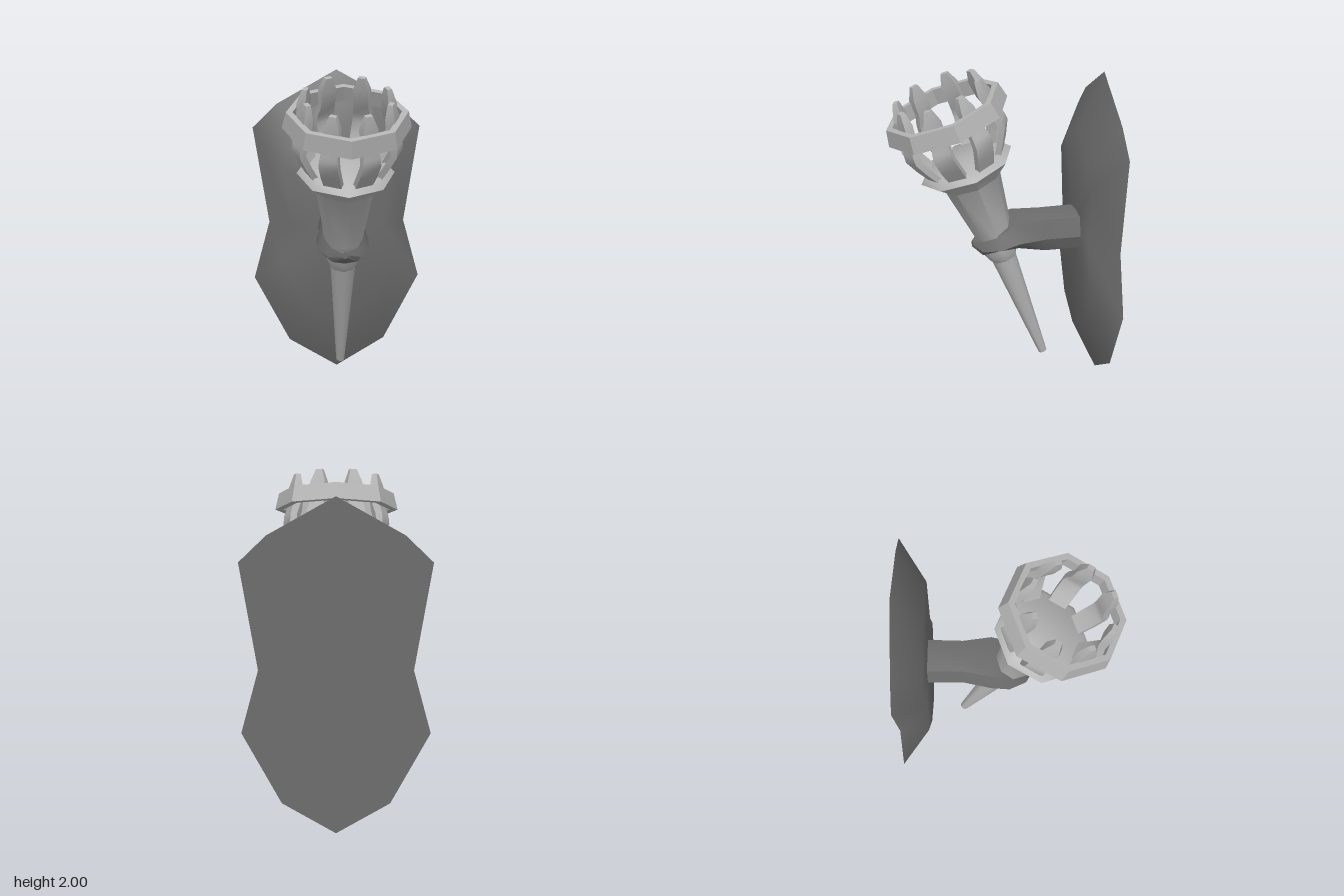
import * as THREE from 'three';
import { toCreasedNormals } from 'three/addons/utils/BufferGeometryUtils.js';

const iron = new THREE.MeshStandardMaterial({ color: 0x6c6c6c });
const torchMetal = new THREE.MeshStandardMaterial({ color: 0xb2b2b2 });

// Closed skin over equal-length loops of Vector3, ordered counter-clockwise about the path
function loft(sections) {
  const n = sections[0].length, last = sections.length - 1;
  const pos = sections.flatMap(s => s.flatMap(p => p.toArray()));
  const index = [];
  for (let i = 0; i < last; i++) {
    for (let j = 0; j < n; j++) {
      const k = (j + 1) % n, a = i * n, b = a + n;
      index.push(a + j, a + k, b + k, a + j, b + k, b + j);
    }
  }
  for (const i of [0, last]) {
    const c = new THREE.Vector3();
    sections[i].forEach(p => c.addScaledVector(p, 1 / n));
    const ci = pos.length / 3;
    pos.push(...c.toArray());
    for (let j = 0; j < n; j++) {
      const p = i * n + j, q = i * n + (j + 1) % n;
      if (i === 0) index.push(ci, q, p); else index.push(ci, p, q);
    }
  }
  const g = new THREE.BufferGeometry();
  g.setAttribute('position', new THREE.Float32BufferAttribute(pos, 3));
  g.setIndex(index);
  return g;
}

// Edges bent by more than crease degrees stay sharp
function add(parent, name, geometry, material, crease) {
  const m = new THREE.Mesh(toCreasedNormals(geometry, THREE.MathUtils.degToRad(crease)), material);
  m.name = name;
  parent.add(m);
  return m;
}

const lathe = (pts, sides) =>
  new THREE.LatheGeometry(pts.map(p => new THREE.Vector2(...p)), sides);

// Bevelled wall plate with a pinched waist
function wallPlate() {
  const half = [[0.31, 0.19], [0.535, 0.615], [0.435, 0.985], [0.535, 1.6], [0.38, 1.75]];
  const outline = [[0, 0.005], ...half, [0, 1.965], ...half.map(([x, y]) => [-x, y]).reverse()];
  const at = (k, z) => outline.map(([x, y]) => new THREE.Vector3(x * k, 0.985 + (y - 0.985) * k, z));
  return loft([at(1, -0.645), at(0.66, -0.49)]);
}

// Arm leaving the plate and widening into a slanted, pointed collar round the torch
function bracket() {
  // z, half width, bottom, middle, top
  const stations = [
    [-0.5, 0.13, 0.86, 0.98, 1.11],
    [-0.28, 0.125, 0.86, 0.98, 1.11],
    [-0.11, 0.16, 0.92, 0.98, 1.105],
    [0, 0.155, 0.92, 0.945, 1.045],
    [0.1, 0.1, 0.88, 0.92, 0.99],
    [0.15, 0.02, 0.92, 0.94, 0.965],
  ];
  return loft(stations.map(([z, w, b, m, t]) => {
    const low = b + (m - b) * 0.3;
    return [
      [0, b], [w * 0.75, low], [w, m], [w * 0.78, t - 0.012], [0, t],
      [-w * 0.78, t - 0.012], [-w, m], [-w * 0.75, low],
    ].map(([x, y]) => new THREE.Vector3(x, y, z));
  }));
}

// Bowed prong standing on the cup rim, pointed at the top
function prong() {
  // height, outer radius, thickness, half width
  const stations = [
    [1.4, 0.235, 0.04, 0.055],
    [1.48, 0.28, 0.04, 0.058],
    [1.57, 0.322, 0.04, 0.058],
    [1.62, 0.318, 0.042, 0.054],
    [1.69, 0.295, 0.045, 0.045],
    [1.79, 0.292, 0.055, 0.047],
    [1.87, 0.27, 0.03, 0.02],
  ];
  return loft(stations.map(([y, r, t, w]) => [
    [-w, r], [w, r], [w, r - t], [-w, r - t],
  ].map(([x, z]) => new THREE.Vector3(x, y, z))));
}

export function createModel() {
  const model = new THREE.Group();
  model.name = 'wallTorch';
  add(model, 'wallPlate', wallPlate(), iron, 52);
  add(model, 'bracketArm', bracket(), iron, 30);

  // Torch parts share a leaning axis that starts at the handle tip
  const torch = new THREE.Group();
  torch.name = 'torch';
  torch.position.set(0, 0.16, -0.297);
  torch.rotation.x = THREE.MathUtils.degToRad(20.4);
  model.add(torch);

  add(torch, 'handle', lathe([[0, 0], [0.026, 0], [0.078, 0.75]], 20), torchMetal, 40);
  add(torch, 'handleCollar', lathe([[0, 0.725], [0.082, 0.725], [0.104, 0.778], [0.104, 0.88]], 8), torchMetal, 50);
  add(torch, 'cup', lathe([
    [0.108, 0.87], [0.175, 1.275], [0.287, 1.374], [0.245, 1.417], [0, 1.417],
  ], 8), torchMetal, 50);
  add(torch, 'crownRing', lathe([
    [0.372, 1.672], [0.35, 1.772], [0.312, 1.772], [0.325, 1.672], [0.372, 1.672],
  ], 8), torchMetal, 20);

  const prongGeometry = prong();
  for (let i = 0; i < 8; i++) {
    add(torch, 'prong', prongGeometry, torchMetal, 50).rotation.y = (i + 0.5) * Math.PI / 4;
  }
  return model;
}
